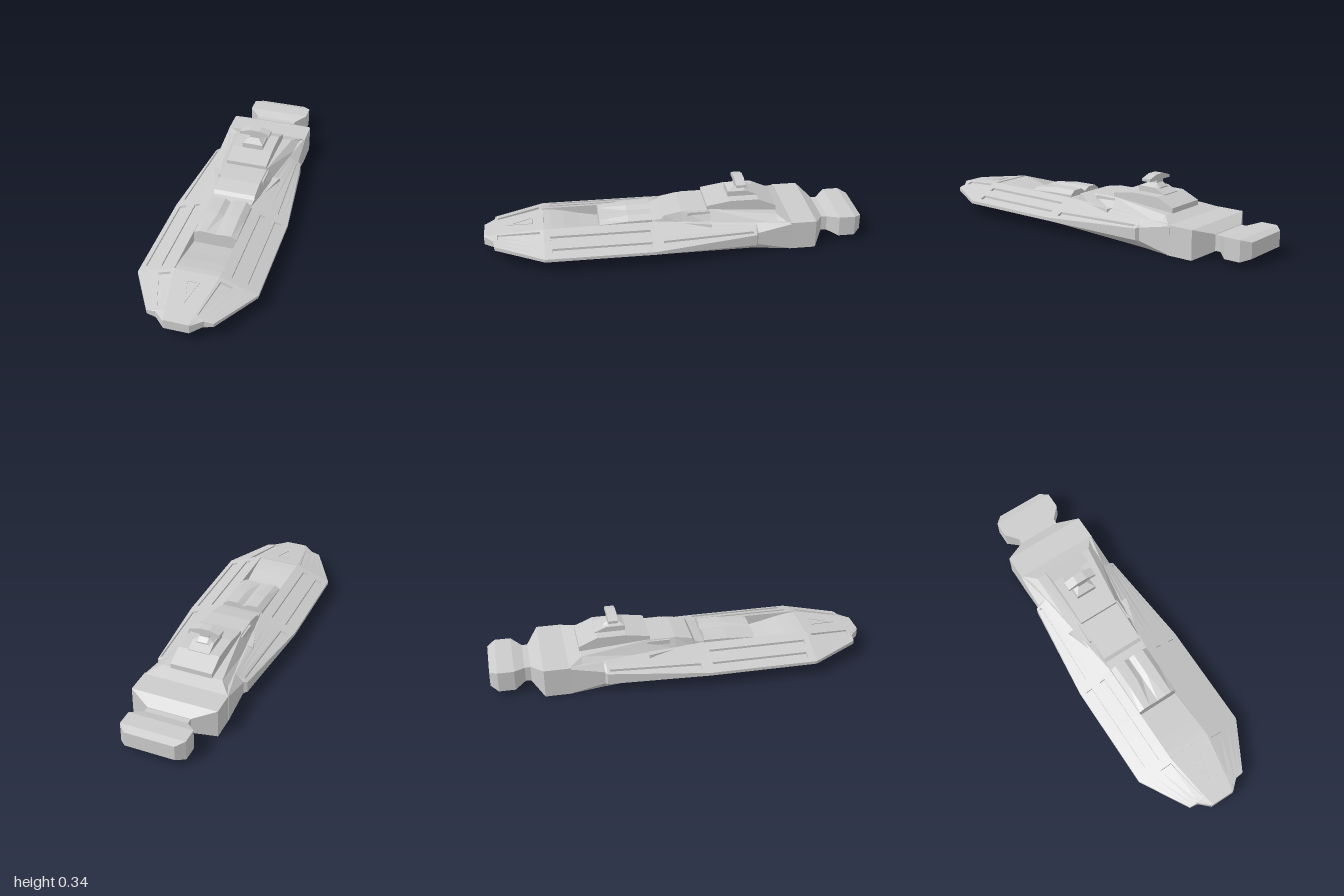
import * as THREE from 'three';

const material = new THREE.MeshStandardMaterial({ color: 0xcccccc, flatShading: true, side: THREE.DoubleSide });

function add(group, name, geometry) {
  const mesh = new THREE.Mesh(geometry, material);
  mesh.name = name;
  group.add(mesh);
  return mesh;
}

// Skin a row of sections running from front (+z) to back. Each section is
// { z, pts }, pts being the right half from the bottom to the top; it is mirrored.
function loft(sections) {
  const rings = sections.map(({ z, pts }) => [
    ...pts.map(([x, y]) => [x, y, z]),
    ...[...pts].reverse().map(([x, y]) => [-x, y, z]),
  ]);
  const out = [];
  const tri = (a, b, c) => out.push(...a, ...b, ...c);
  const n = rings[0].length;
  for (let r = 0; r < rings.length - 1; r++) {
    for (let i = 0; i < n; i++) {
      const j = (i + 1) % n;
      const [a, b, c, d] = [rings[r][i], rings[r][j], rings[r + 1][j], rings[r + 1][i]];
      tri(a, d, b);
      tri(d, c, b);
    }
  }
  const first = rings[0], last = rings[rings.length - 1];
  for (let i = 1; i < n - 1; i++) {
    tri(first[0], first[i], first[i + 1]);
    tri(last[0], last[i + 1], last[i]);
  }
  const geometry = new THREE.BufferGeometry();
  geometry.setAttribute('position', new THREE.Float32BufferAttribute(out, 3));
  geometry.computeVertexNormals();
  return geometry;
}

// Trapezoid sections: [z, bottom half width, top half width, bottom y, top y]
const boxLoft = (rows) => loft(rows.map(([z, wb, wt, y0, y1]) => ({ z, pts: [[wb, y0], [wt, y1]] })));

// Hull section: keel corner, knife edge, sloped flank with two trenches, deck edge, bay floor
function hullSection(z, [bw, by], [sw, s0, s1], [tw, ty], { outer = 0, inner = 0, t = [0.59, 0.74], floor = ty } = {}) {
  const on = (f, drop) => [sw + (tw - sw) * f, s1 + (ty - s1) * f - drop];
  const trench = (a, b, depth) => [on(a, 0), on(a, depth), on(b, depth), on(b, 0)];
  return {
    z,
    pts: [
      [bw, by], [sw, s0], [sw, s1],
      ...trench(0.145, 0.33, outer),
      ...trench(t[0], t[1], inner),
      [tw, ty], [tw - 0.001, floor],
    ],
  };
}

function hull() {
  const nose = [0.58, 0.92];
  const mid = (z, opt) => hullSection(z, [0.11, 0], [0.308, 0.07, 0.086], [0.115, 0.155], opt);
  // the nose and the tapering rear interpolate between two key shapes
  const mix = (a, b, f) => a.map((v, i) => v + (b[i] - v) * f);
  const front = (z, opt) => {
    const f = (0.945 - z) / 0.255;
    return hullSection(z, mix([0.075, 0.05], [0.11, 0], f), mix([0.165, 0.077, 0.097], [0.308, 0.07, 0.086], f),
      mix([0.073, 0.118], [0.115, 0.155], f), { t: nose, ...opt });
  };
  const rear = (z, opt) => {
    const f = (0.12 - z) / 0.53;
    return hullSection(z, mix([0.11, 0], [0.19, 0], f), mix([0.308, 0.07, 0.086], [0.25, 0.05, 0.11], f),
      mix([0.115, 0.155], [0.185, 0.15], f), opt);
  };
  const d = 0.012;
  return loft([
    hullSection(1, [0.06, 0.06], [0.065, 0.062, 0.105], [0.06, 0.11], { t: nose }),
    hullSection(0.95, [0.074, 0.051], [0.12, 0.072, 0.105], [0.072, 0.117], { t: nose }),
    front(0.945), front(0.93), front(0.929, { inner: 0.008 }),
    front(0.711, { inner: d }), front(0.71), front(0.69),
    mid(0.689, { floor: 0.15 }),
    mid(0.66, { floor: 0.148 }),
    mid(0.659, { floor: 0.148, inner: d }),
    mid(0.65, { floor: 0.147, inner: d }),
    mid(0.649, { floor: 0.147, inner: d, outer: d }),
    mid(0.58, { floor: 0.135, inner: d, outer: d }),
    mid(0.5, { floor: 0.115, inner: d, outer: d }),
    mid(0.4, { floor: 0.095, inner: d, outer: d }),
    mid(0.141, { floor: 0.095, inner: d, outer: d }),
    mid(0.14, { floor: 0.095 }),
    mid(0.121, { floor: 0.095 }),
    rear(0.12), rear(0.08), rear(0.079, { outer: d }),
    rear(-0.395, { outer: d }), rear(-0.396), rear(-0.41),
    hullSection(-0.42, [0.19, 0], [0.232, 0.045, 0.112], [0.187, 0.15]),
    hullSection(-0.6, [0.228, 0.003], [0.229, 0.005, 0.15], [0.225, 0.155]),
  ]);
}

// Triangular frame lying on the sloping nose
function noseFrame() {
  const triangle = (Type, w, z0, z1) => {
    const s = new Type();
    s.moveTo(-w, -z0);
    s.lineTo(0, -z1);
    s.lineTo(w, -z0);
    s.closePath();
    return s;
  };
  const shape = triangle(THREE.Shape, 0.036, 0.055, 0.195);
  shape.holes.push(triangle(THREE.Path, 0.026, 0.063, 0.17));
  return new THREE.ExtrudeGeometry(shape, { depth: 0.003, bevelEnabled: false })
    .rotateX(-Math.PI / 2).rotateX(0.144).translate(0, 0.155, 0.69);
}

// Crossbar on top of the bridge
function crossbar() {
  const half = [[0.083, 0.307], [0.083, 0.321], [0.027, 0.338]];
  const outline = [...half, ...half.map(([x, y]) => [-x, y]).reverse()];
  const shape = new THREE.Shape(outline.map(([x, y]) => new THREE.Vector2(x, y)));
  return new THREE.ExtrudeGeometry(shape, { depth: 0.05, bevelEnabled: false }).translate(0, 0, -0.375);
}

export function createModel() {
  const ship = new THREE.Group();
  ship.name = 'ship';

  add(ship, 'hull', hull());
  add(ship, 'noseFrame', noseFrame());

  // Ridged hood over the back of the open bay
  add(ship, 'bayHood', loft([
    { z: 0.4, pts: [[0.113, 0.09], [0.113, 0.155], [0.085, 0.17], [0.05, 0.17], [0.001, 0.166]] },
    { z: 0.25, pts: [[0.113, 0.09], [0.113, 0.165], [0.085, 0.188], [0.03, 0.188], [0.001, 0.172]] },
    { z: 0.125, pts: [[0.113, 0.09], [0.113, 0.168], [0.085, 0.19], [0.03, 0.19], [0.001, 0.172]] },
  ]));

  // Stepped superstructure
  add(ship, 'upperDeck', boxLoft([
    [0.125, 0.113, 0.105, 0.14, 0.158],
    [0.075, 0.118, 0.112, 0.14, 0.17],
    [0.06, 0.12, 0.112, 0.14, 0.188],
    [-0.03, 0.135, 0.112, 0.14, 0.205],
    [-0.18, 0.155, 0.115, 0.14, 0.207],
    [-0.53, 0.21, 0.165, 0.14, 0.18],
    [-0.6, 0.225, 0.222, 0.14, 0.155],
  ]));
  add(ship, 'deckFins', boxLoft([
    [0.04, 0.12, 0.12, 0.12, 0.148],
    [-0.18, 0.19, 0.185, 0.12, 0.155],
  ]));
  add(ship, 'middleDeck', boxLoft([
    [-0.165, 0.112, 0.112, 0.18, 0.227],
    [-0.29, 0.112, 0.112, 0.18, 0.247],
    [-0.44, 0.112, 0.112, 0.18, 0.247],
    [-0.535, 0.112, 0.112, 0.175, 0.205],
  ]));
  for (const side of [1, -1]) {
    add(ship, side > 0 ? 'leftDeckPod' : 'rightDeckPod', new THREE.BoxGeometry(0.025, 0.024, 0.12))
      .position.set(side * 0.113, 0.189, -0.12);
  }

  // Bridge tower
  add(ship, 'bridgeBase', boxLoft([
    [-0.285, 0.057, 0.057, 0.24, 0.275],
    [-0.385, 0.057, 0.057, 0.24, 0.275],
    [-0.445, 0.057, 0.057, 0.24, 0.249],
  ]));
  add(ship, 'bridgeRoof', boxLoft([
    [-0.287, 0.055, 0.055, 0.273, 0.275],
    [-0.325, 0.055, 0.025, 0.273, 0.294],
    [-0.375, 0.055, 0.025, 0.273, 0.294],
    [-0.4, 0.05, 0.025, 0.265, 0.275],
  ]));
  add(ship, 'bridgeNeck', new THREE.BoxGeometry(0.05, 0.024, 0.05)).position.set(0, 0.3, -0.35);
  add(ship, 'bridgeCrossbar', crossbar());

  // Stern block, neck and engine
  const stern = (rows) => boxLoft(rows.map(([z, w, y0, y1]) => [z, w, w, y0, y1]));
  add(ship, 'sternBlock', stern([
    [-0.59, 0.228, 0.003, 0.155],
    [-0.73, 0.228, 0.003, 0.155],
    [-0.79, 0.115, 0.035, 0.12],
  ]));
  add(ship, 'engine', stern([
    [-0.78, 0.115, 0.038, 0.118],
    [-0.82, 0.115, 0.038, 0.118],
    [-0.875, 0.17, 0.027, 0.135],
    [-0.96, 0.17, 0.027, 0.135],
    [-1, 0.13, 0.042, 0.122],
  ]));

  return ship;
}
